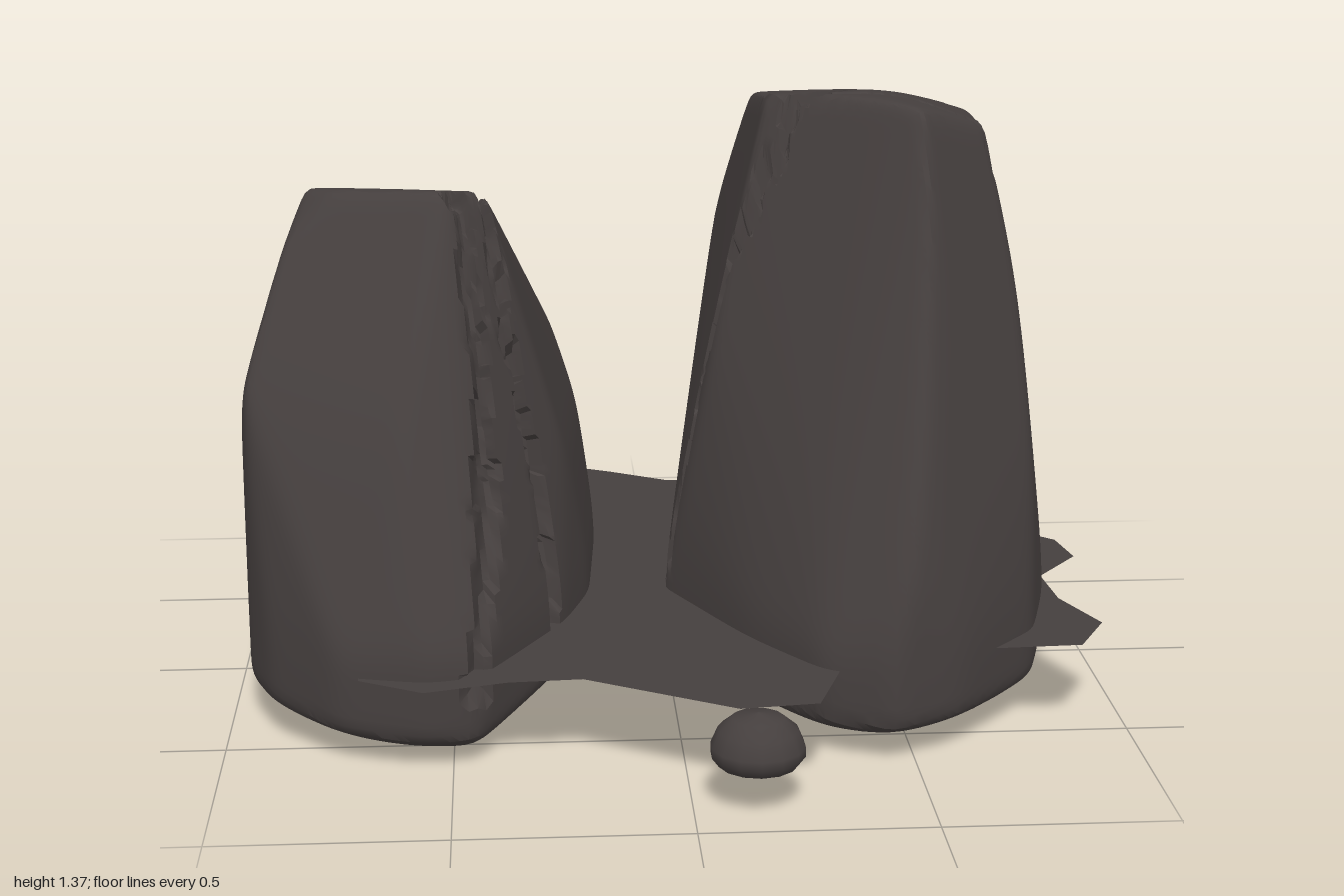
import * as THREE from 'three';
import { mergeVertices, toCreasedNormals } from 'three/addons/utils/BufferGeometryUtils.js';
import { ConvexGeometry } from 'three/addons/geometries/ConvexGeometry.js';

const hash = (n) => { const s = Math.sin(n * 127.1 + 11.7) * 43758.5453; return s - Math.floor(s); };

// unique outward planes of the convex hull around some points
function hullPlanes(points, centre) {
  const pos = new ConvexGeometry(points).attributes.position;
  const planes = [];
  const [a, b, c] = [0, 1, 2].map(() => new THREE.Vector3());
  for (let i = 0; i < pos.count; i += 3) {
    [a, b, c].forEach((v, k) => v.fromBufferAttribute(pos, i + k).sub(centre));
    const n = b.clone().sub(a).cross(c.clone().sub(a));
    if (n.length() < 1e-7) continue;
    n.normalize();
    const h = n.dot(a);
    if (!planes.some((p) => p.n.dot(n) > 0.9995 && Math.abs(p.h - h) < 0.004)) planes.push({ n, h });
  }
  return planes;
}

// distance from (x, z) to a crack path, shifted in jagged steps
function crackDistance(crack, p) {
  let best = Infinity;
  const step = Math.floor((p.y * 1.1 + p.z) * 14);
  const jag = (hash(step + crack.seed) - 0.5) * 0.03;
  for (let i = 0; i + 1 < crack.path.length; i++) {
    const [ax, az] = crack.path[i], [bx, bz] = crack.path[i + 1];
    const dx = bx - ax, dz = bz - az, len = Math.hypot(dx, dz);
    const t = ((p.x - ax) * dx + (p.z - az) * dz) / (len * len);
    const k = THREE.MathUtils.clamp(t, 0, 1);
    const off = ((p.x - ax) * dz - (p.z - az) * dx) / len;
    const d = t === k ? Math.abs(off + jag) : Math.hypot(p.x - ax - k * dx, p.z - az - k * dz);
    best = Math.min(best, d);
  }
  return best;
}

// boulder: a sphere pressed onto softened hull planes, then cut by cracks
function boulder({ outline, upper, centre, floor, cracks }) {
  const c = new THREE.Vector3(...centre);
  const points = upper.map((p) => new THREE.Vector3(...p));
  for (const [x, z] of outline) {
    const ix = c.x + (x - c.x) * 0.84, iz = c.z + (z - c.z) * 0.84;
    points.push(new THREE.Vector3(x, floor(x) + 0.055, z), new THREE.Vector3(x, 0.26, z));
    points.push(new THREE.Vector3(ix, floor(ix), iz));
  }
  const planes = hullPlanes(points, c);
  let geo = new THREE.SphereGeometry(1, 220, 130);
  geo.deleteAttribute('normal');
  geo.deleteAttribute('uv');
  geo = mergeVertices(geo, 1e-5);
  const pos = geo.attributes.position;
  const d = new THREE.Vector3(), p = new THREE.Vector3();
  for (let i = 0; i < pos.count; i++) {
    d.fromBufferAttribute(pos, i).normalize();
    let top = 0, sum = 0;
    const q = planes.map((f) => Math.max(0, f.n.dot(d) / f.h));
    for (const v of q) top = Math.max(top, v);
    for (const v of q) sum += Math.pow(v / top, 80);
    const r = 1.008 / (top * Math.pow(sum, 1 / 80));
    p.copy(d).multiplyScalar(r).add(c);
    let cut = 0;
    if (p.y > 0.14) for (const k of cracks) {
      const e = crackDistance(k, p);
      if (e < k.width) cut = Math.max(cut, k.depth * (1 - (e / k.width) ** 2));
    }
    p.addScaledVector(d, -cut);
    pos.setXYZ(i, p.x, p.y, p.z);
  }
  return toCreasedNormals(geo, 0.55);
}

export function createModel() {
  const group = new THREE.Group();
  const stone = new THREE.MeshStandardMaterial({ color: 0x453f3e, side: THREE.DoubleSide });
  stone.name = 'dark stone';
  const add = (name, geo) => {
    const mesh = new THREE.Mesh(geo, stone);
    mesh.name = name;
    group.add(mesh);
    return mesh;
  };

  // short boulder, split by two long cracks
  add('shortBoulder', boulder({
    centre: [-0.57, 0.5, -0.1],
    floor: (x) => (x > -0.45 ? (x + 0.45) * 0.24 : (-0.45 - x) * 0.1),
    outline: [[-1, -0.4], [-0.9, -0.58], [-0.82, -0.74], [-0.7, -0.81], [-0.33, -0.77], [-0.18, -0.57],
      [-0.16, -0.38], [-0.19, 0.08], [-0.25, 0.28], [-0.38, 0.52], [-0.44, 0.62], [-0.55, 0.65],
      [-0.75, 0.6], [-0.9, 0.45], [-0.96, 0.3]],
    upper: [[-0.99, 0.45, -0.32], [-0.98, 0.65, 0.1], [-0.95, 0.77, 0.31], [-0.87, 1.05, 0.18], [-0.6, 0.72, 0.47],
      [-0.2, 0.55, -0.4], [-0.26, 0.7, -0.58], [-0.25, 0.6, 0.15], [-0.7, 0.4, -0.79], [-0.45, 0.6, -0.72],
      [-0.9, 0.5, -0.48], [-0.82, 1.17, 0.02], [-0.74, 1.18, 0.14], [-0.5, 1.19, 0.22], [-0.42, 1.18, 0.15],
      [-0.58, 1.06, -0.25], [-0.78, 0.97, -0.22], [-0.39, 0.95, -0.45]],
    cracks: [
      { path: [[-0.95, -0.65], [-0.6, 0], [-0.46, 0.22], [-0.42, 0.4], [-0.44, 0.75]], width: 0.024, depth: 0.05, seed: 3 },
      { path: [[-0.82, -0.85], [-0.52, -0.18], [-0.39, 0.2], [-0.3, 0.28], [-0.22, 0.4]], width: 0.024, depth: 0.05, seed: 8 },
    ],
  }));

  // tall boulder, cracked across its crown
  add('tallBoulder', boulder({
    centre: [0.45, 0.6, -0.1],
    floor: (x) => 0.02 + Math.max(0, x) * 0.03,
    outline: [[-0.01, 0.06], [0.03, -0.2], [0.06, 0.2], [0.15, 0.4], [0.3, 0.62], [0.45, 0.69], [0.6, 0.62],
      [0.8, 0.4], [0.87, 0.16], [0.9, 0], [0.88, -0.15], [0.74, -0.38], [0.41, -0.88], [0.2, -0.87], [0.14, -0.8]],
    upper: [[0.23, 1.36, -0.06], [0.44, 1.38, 0.17], [0.54, 1.37, 0.28], [0.5, 1.38, 0], [0.74, 1.28, -0.3],
      [0.71, 1.3, 0.1], [0.24, 1.33, -0.3], [0.25, 1.27, -0.66], [0.43, 1.28, -0.66], [0.58, 1.3, -0.45],
      [0.23, 1.16, -0.76], [0.41, 1.16, -0.77], [0.18, 0.95, -0.86], [0.4, 0.95, -0.88], [0.11, 0.85, -0.12],
      [0.1, 0.82, 0.08], [0.03, 0.45, 0.1], [0.82, 0.75, -0.15], [0.77, 1.02, 0.18], [0.8, 0.62, 0.33],
      [0.55, 1.21, 0.36], [0.55, 1.02, 0.42], [0.54, 0.66, 0.56], [0.48, 0.42, 0.66], [0.3, 0.6, 0.45]],
    cracks: [
      { path: [[-0.1, 0.05], [0.3, 0.02], [0.48, -0.1], [0.72, -0.27], [0.95, -0.36]], width: 0.024, depth: 0.05, seed: 5 },
      { path: [[0.36, 0.03], [0.6, 0.1], [0.76, 0.08]], width: 0.02, depth: 0.025, seed: 9 },
    ],
  }));

  // thin ragged sheet between the boulders
  const edge = [[-0.62, -0.8], [-0.55, -0.9], [-0.42, -0.965], [-0.25, -0.965], [-0.1, -0.89], [0.05, -0.8],
    [0.16, -0.79], [0.45, -0.87], [0.62, -0.9], [0.74, -0.78], [0.75, -0.45], [0.98, -0.23], [1, -0.1],
    [0.89, 0.04], [0.9, 0.2], [0.965, 0.37], [0.89, 0.51], [0.68, 0.52], [0.34, 0.62], [0.27, 0.82],
    [0.1, 0.84], [-0.22, 0.65], [-0.38, 0.66], [-0.56, 0.71], [-0.7, 0.63], [-0.72, 0.3], [-0.72, -0.5]];
  const sheet = new THREE.ShapeGeometry(new THREE.Shape(edge.map(([x, z]) => new THREE.Vector2(x, -z))));
  sheet.rotateX(-Math.PI / 2);
  add('groundSheet', sheet).position.y = 0.21;

  // small domed pebble with a flat underside
  const profile = [[0, 0], [0.085, 0], [0.1, 0.02], [0.1, 0.04], [0.085, 0.075], [0.055, 0.1], [0, 0.112]];
  const pebble = new THREE.LatheGeometry(profile.map(([x, y]) => new THREE.Vector2(x, y)), 14);
  add('pebble', pebble).position.set(0.135, 0.1, 0.865);

  return group;
}
